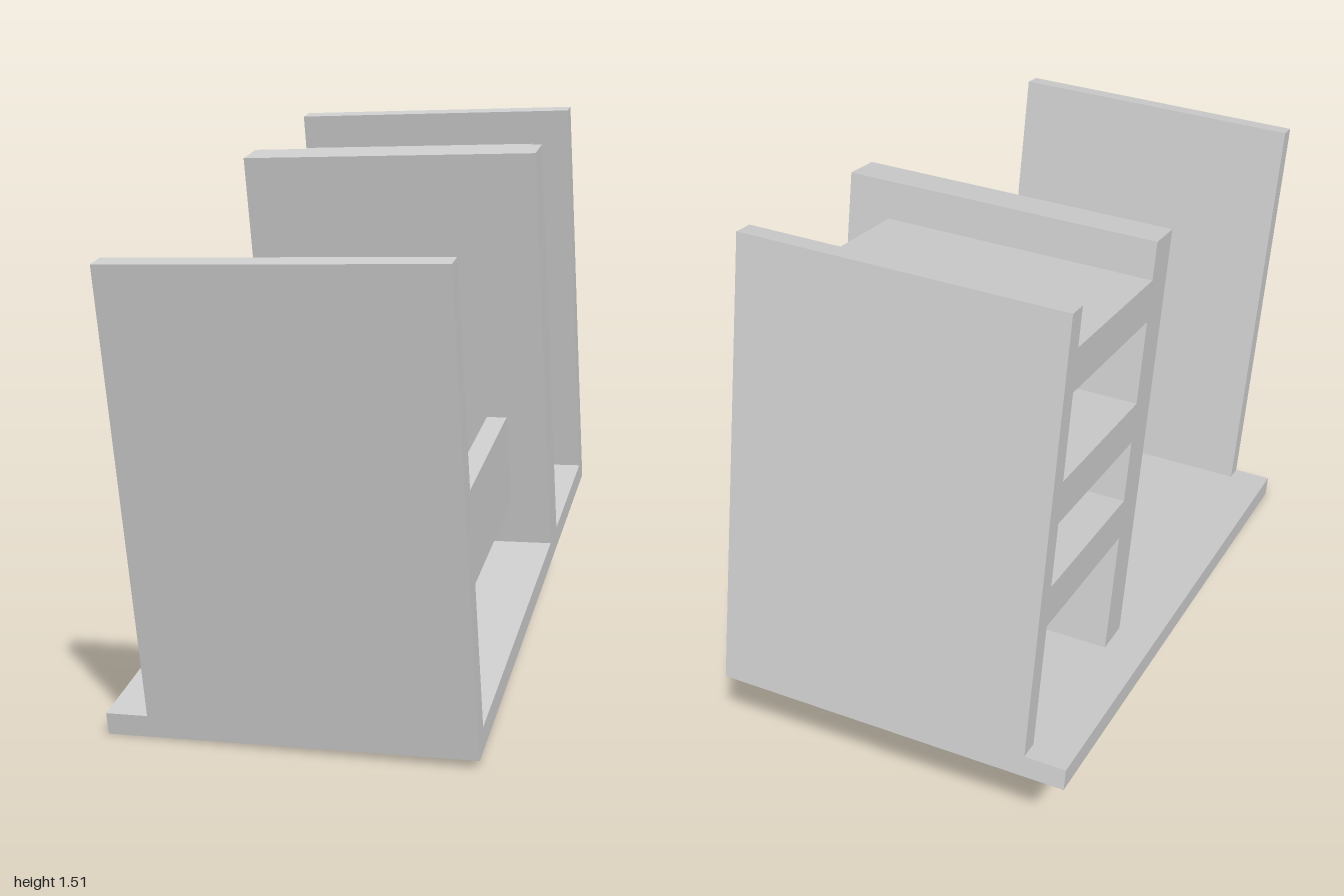
import * as THREE from 'three';

export function createModel() {
  const model = new THREE.Group();
  model.name = 'deskUnit';
  const material = new THREE.MeshStandardMaterial({ color: 0xcccccc, flatShading: true });

  // The unit is built square to its own axes, then tilted and turned.
  // Its origin is the front right corner of the base; boards run back along -z.
  const unit = new THREE.Group();
  unit.name = 'unit';
  unit.position.set(-0.36, 0, 0.78);
  unit.rotation.set(0.1965, 0.1113, 0);
  model.add(unit);

  // Board from ranges across (x), up (y) and back (-z)
  const board = (name, [x0, x1], [y0, y1], [b0, b1]) => {
    const mesh = new THREE.Mesh(new THREE.BoxGeometry(x1 - x0, y1 - y0, b1 - b0), material);
    mesh.position.set((x0 + x1) / 2, (y0 + y1) / 2, -(b0 + b1) / 2);
    mesh.name = name;
    unit.add(mesh);
  };

  const T = 0.056, W = 0.916, L = 1.722, H = 1.18;
  const inset = 0.106;          // base strip left free beside the panels
  const inner = W - 0.11;       // far end of the rail and shelves
  const midFront = 1.077, midBack = 1.186;

  // Base and the three upright panels
  board('base', [0, W], [0, T], [0, L]);
  board('frontPanel', [inset, W], [T, H], [0, T]);
  board('middlePanel', [inset, W], [T, H], [midFront, midBack]);
  board('backPanel', [inset, W], [T, H], [L - T, L]);

  // Rail joining the front and middle panels
  board('rail', [inner - T, inner], [0.175, 0.435], [T, midFront]);

  // Shelves between the middle and back panels
  [0.49, 0.76, 1.083].forEach((top, i) =>
    board(`shelf${i + 1}`, [inset, inner], [top - 0.106, top], [midBack, L - T]));

  return model;
}
